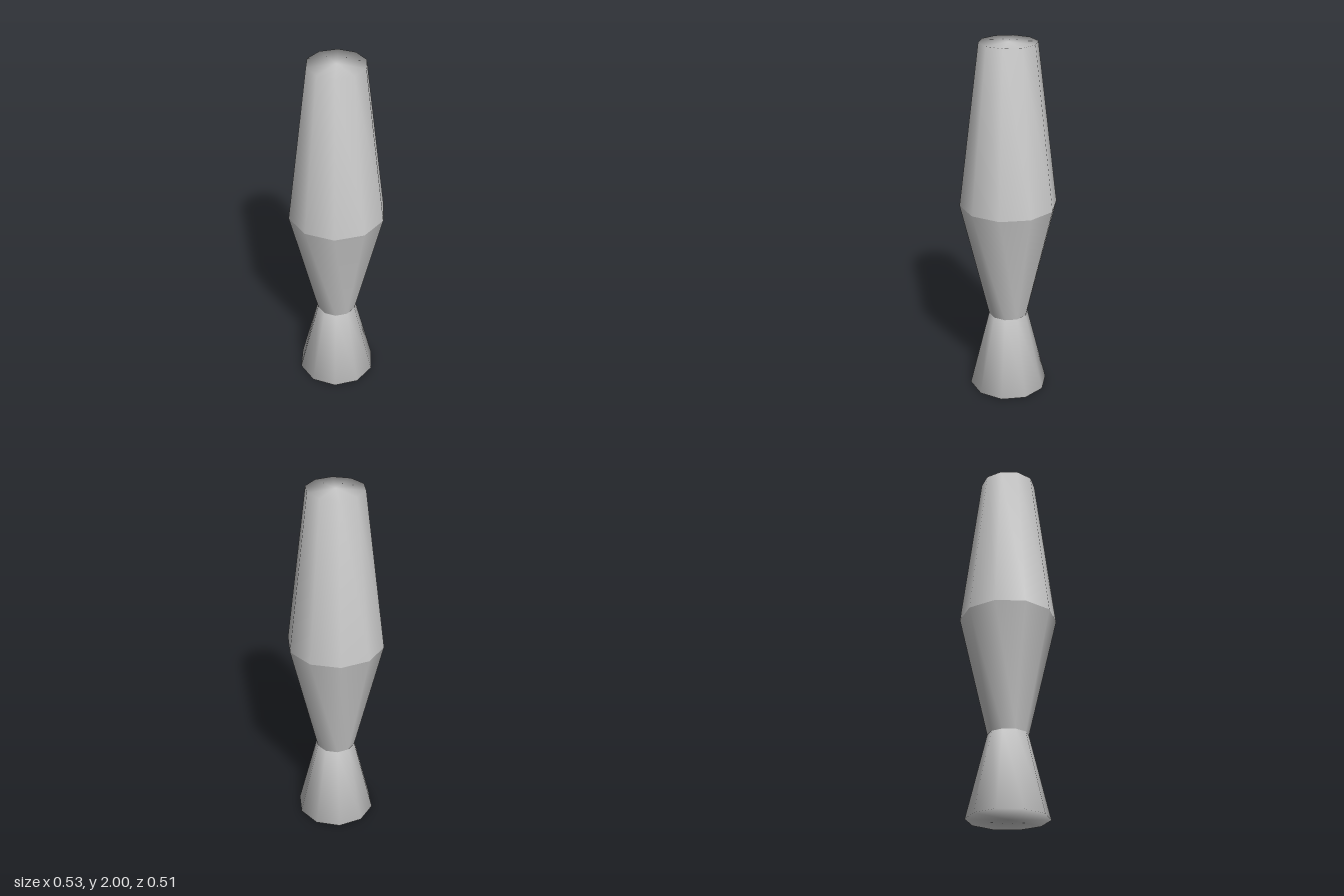
import * as THREE from 'three';
import { mergeVertices } from 'three/addons/utils/BufferGeometryUtils.js';

const SIDES = 10;

// Ten-sided turned section from [radius, height] pairs, listed bottom to top.
// Vertices are welded so shading is smooth within a section, crisp between sections.
function section(name, profile, material) {
  const points = profile.map(([r, y]) => new THREE.Vector2(r, y));
  const lathe = new THREE.LatheGeometry(points, SIDES, Math.PI / 2);
  lathe.deleteAttribute('uv');
  lathe.deleteAttribute('normal');
  const geometry = mergeVertices(lathe, 1e-4);
  geometry.computeVertexNormals();
  const mesh = new THREE.Mesh(geometry, material);
  mesh.name = name;
  return mesh;
}

export function createModel() {
  const group = new THREE.Group();
  group.name = 'taperedLamp';
  const material = new THREE.MeshStandardMaterial({ color: 0xcccccc });

  // Flared foot, closed underneath
  group.add(section('foot', [[0, 0], [0.22, 0], [0.11, 0.45]], material));
  // Cup widening upward from the neck
  group.add(section('cup', [[0.11, 0.45], [0.266, 1.115]], material));
  // Long tapering upper body, closed on top
  group.add(section('upperBody', [[0.266, 1.115], [0.155, 2], [0, 2]], material));

  return group;
}
